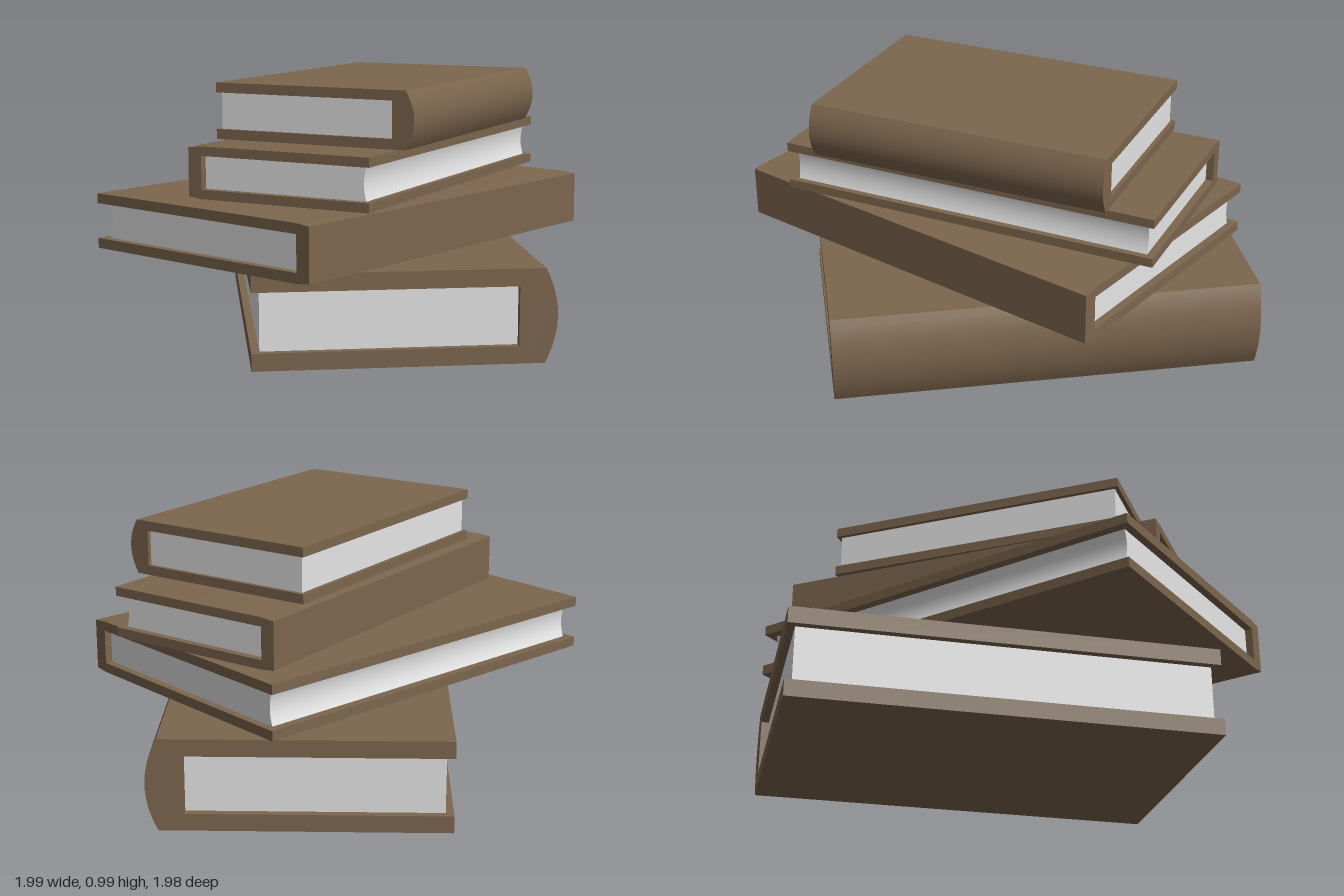
import * as THREE from 'three';
import { toCreasedNormals } from 'three/addons/utils/BufferGeometryUtils.js';

const coverMaterial = new THREE.MeshStandardMaterial({ color: 0x7d664e });
coverMaterial.name = 'brown cover';
const pageMaterial = new THREE.MeshStandardMaterial({ color: 0xe6e6e6 });
pageMaterial.name = 'pale paper';

// Extrude a cross-section (x = toward spine, y = up) along the book's length
function slab(name, shape, length, material) {
  const geo = new THREE.ExtrudeGeometry(shape, { depth: length, bevelEnabled: false, curveSegments: 12 });
  geo.translate(0, 0, -length / 2);
  geo.rotateY(-Math.PI / 2);
  const mesh = new THREE.Mesh(toCreasedNormals(geo, 0.6), material);
  mesh.name = name;
  return mesh;
}

// One hardback: the spine faces local +z, the length runs along local x
function book({ name, length, width, height, board, spine, bulge, hollow, inset, endInset, x, y, z, turn }) {
  const half = width / 2;
  const edge = half - bulge;
  const drop = bulge ? 0 : 0.006;

  // C-shaped case: two boards joined by a rounded or flat spine
  const cover = new THREE.Shape();
  cover.moveTo(-half, 0);
  cover.lineTo(edge - 0.06, 0);
  cover.lineTo(edge, drop);
  if (bulge) cover.quadraticCurveTo(edge + 2 * bulge, height / 2, edge, height);
  else cover.lineTo(edge, height - drop);
  cover.lineTo(edge - 0.06, height);
  cover.lineTo(-half, height);
  cover.lineTo(-half, height - board);
  cover.lineTo(half - spine, height - board);
  cover.lineTo(half - spine, board);
  cover.lineTo(-half, board);
  cover.closePath();

  // Page block with a straight or hollowed fore edge
  const fore = -half + inset;
  const pages = new THREE.Shape();
  pages.moveTo(fore, board);
  pages.lineTo(half - spine, board);
  pages.lineTo(half - spine, height - board);
  pages.lineTo(fore, height - board);
  if (hollow) pages.quadraticCurveTo(fore + 2 * hollow, height / 2, fore, board);
  else pages.closePath();

  const group = new THREE.Group();
  group.name = name;
  group.add(slab('cover', cover, length, coverMaterial));
  group.add(slab('pages', pages, length - 2 * endInset, pageMaterial));
  group.position.set(x, y, z);
  group.rotation.y = turn;
  return group;
}

export function createModel() {
  const stack = new THREE.Group();
  stack.name = 'bookStack';
  const books = [
    { name: 'bottomBook', length: 1.64, width: 1.105, height: 0.35, board: 0.065, spine: 0.14, bulge: 0.045,
      hollow: 0, inset: 0.03, endInset: 0.03, x: 0.067, y: 0, z: -0.005, turn: 0.963 },
    { name: 'secondBook', length: 1.648, width: 1.075, height: 0.21, board: 0.038, spine: 0.058, bulge: 0,
      hollow: 0.013, inset: 0.035, endInset: 0.03, x: -0.105, y: 0.357, z: 0.004, turn: 0.15 },
    { name: 'thirdBook', length: 1.523, width: 0.74, height: 0.194, board: 0.035, spine: 0.055, bulge: 0,
      hollow: 0.01, inset: 0.025, endInset: 0.03, x: -0.005, y: 0.578, z: 0.05, turn: Math.PI + 0.37 },
    { name: 'topBook', length: 1.188, width: 0.805, height: 0.21, board: 0.037, spine: 0.085, bulge: 0.033,
      hollow: 0, inset: 0.016, endInset: 0.016, x: 0.003, y: 0.782, z: 0.1, turn: 0.388 },
  ];
  for (const spec of books) stack.add(book(spec));
  return stack;
}
